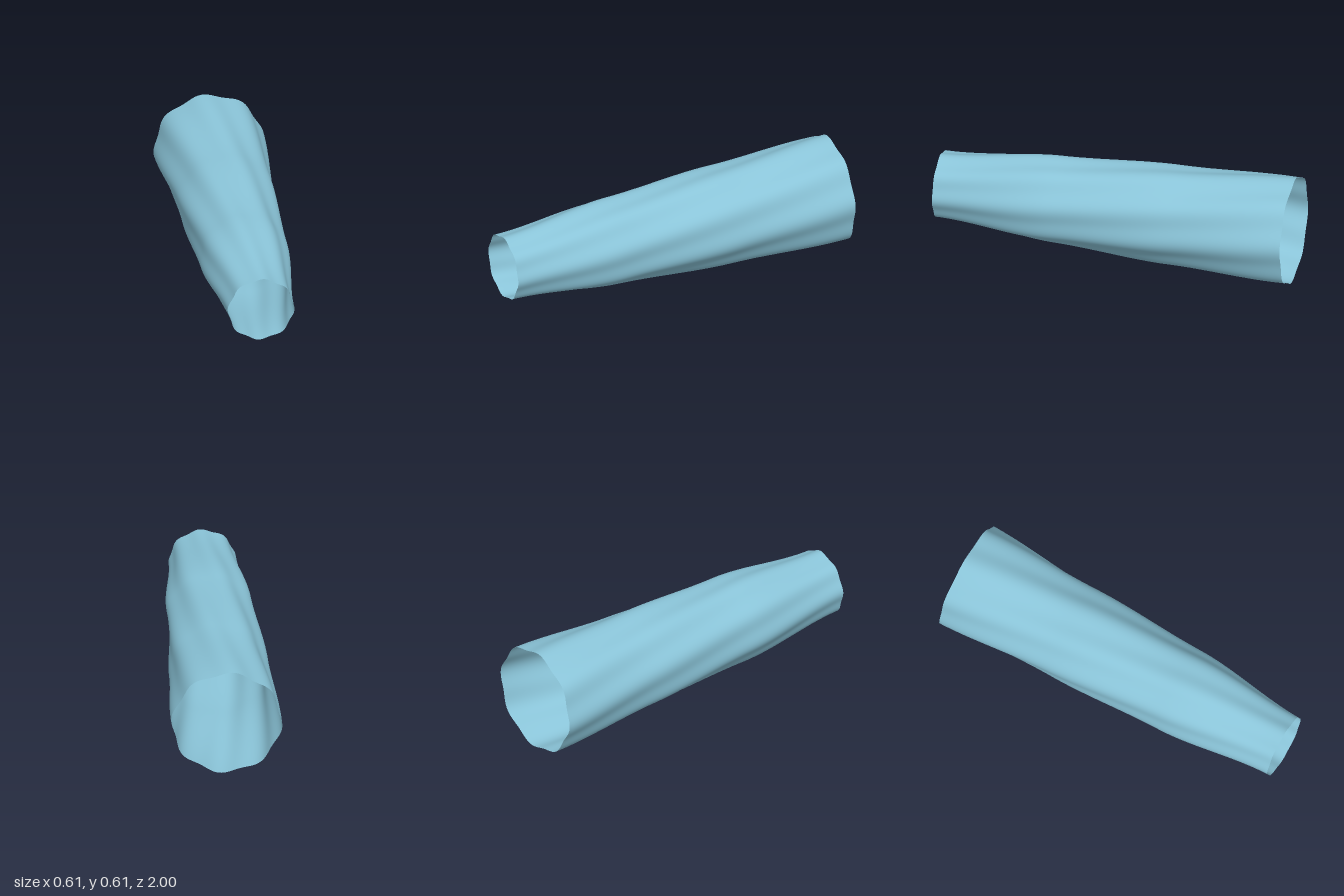
import * as THREE from 'three';
import { mergeVertices } from 'three/addons/utils/BufferGeometryUtils.js';

// Mean radius at four evenly spaced stations, back to front
const STATIONS = [0.298, 0.267, 0.238, 0.18];
const LOBES = 8;
const LOBE_DEPTH = 0.03;
const CENTRE_Y = 0.303;

// Radius along the length, easing flat at every station
function meanRadius(z) {
  const t = ((z + 1) / 2) * (STATIONS.length - 1);
  const i = Math.min(Math.floor(t), STATIONS.length - 2);
  const s = THREE.MathUtils.smoothstep(t - i, 0, 1);
  return THREE.MathUtils.lerp(STATIONS[i], STATIONS[i + 1], s);
}

export function createModel() {
  const model = new THREE.Group();
  model.name = 'taperedSleeve';

  const blue = new THREE.MeshStandardMaterial({ color: 0x8ac4d8, side: THREE.DoubleSide });
  blue.name = 'pale blue';

  // Open tube along z, with fluted lobes that twist along its length
  let geometry = new THREE.CylinderGeometry(1, 1, 2, 128, 72, true);
  geometry.rotateX(Math.PI / 2);
  geometry.deleteAttribute('uv');
  geometry.deleteAttribute('normal');
  geometry = mergeVertices(geometry);

  const p = geometry.attributes.position;
  for (let i = 0; i < p.count; i++) {
    const z = p.getZ(i);
    const angle = Math.atan2(p.getY(i), p.getX(i));
    const twist = THREE.MathUtils.degToRad(114 - 29 * z);
    const r = meanRadius(z) * (1 + LOBE_DEPTH * Math.cos(LOBES * (angle - twist)));
    p.setXYZ(i, r * Math.cos(angle), CENTRE_Y + r * Math.sin(angle), z);
  }
  geometry.computeVertexNormals();

  const sleeve = new THREE.Mesh(geometry, blue);
  sleeve.name = 'sleeve';
  model.add(sleeve);
  return model;
}
